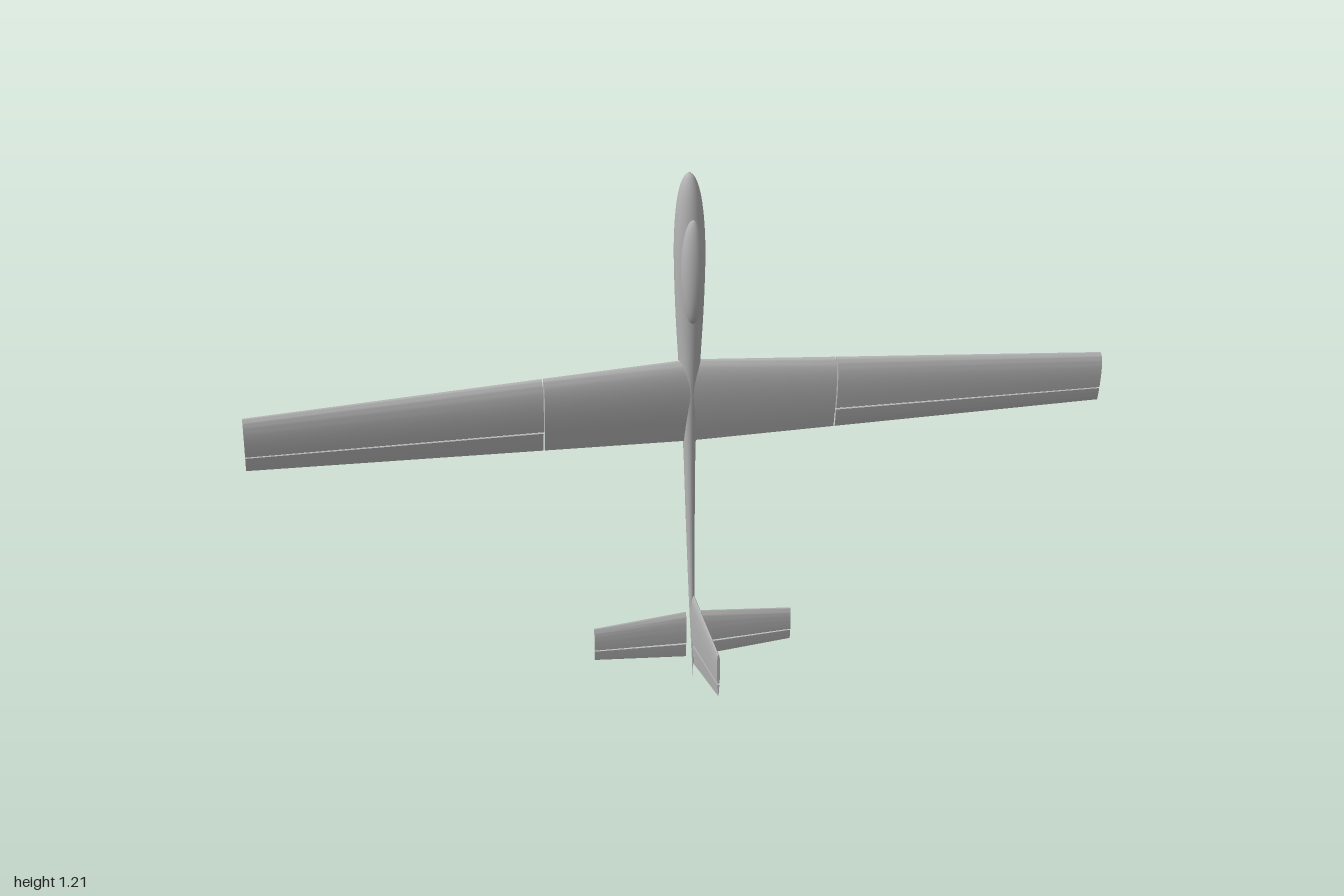
import * as THREE from 'three';
import { mergeVertices, toCreasedNormals } from 'three/addons/utils/BufferGeometryUtils.js';

const grey = new THREE.MeshStandardMaterial({ color: 0xb4b4b4 });
grey.name = 'grey';

const lerp = THREE.MathUtils.lerp;

// Half thickness of an airfoil at chord fraction s, for a thickness of 1
const airfoil = (s) =>
  5 * (0.2969 * Math.sqrt(s) - 0.126 * s - 0.3516 * s * s + 0.2843 * s ** 3 - 0.1036 * s ** 4);

// Section of a surface at distance u from root (0) to tip (1)
function station(surface, u) {
  const { root, tip } = surface;
  const mix = (key) => lerp(root[key], tip[key], u);
  return { x: mix('x'), lead: mix('lead'), trail: mix('trail'), z: mix('z'), thick: mix('thick') };
}

// Closed loop of points between two chord fractions
function sectionLoop(st, c0, c1, flat) {
  const upper = [], lower = [], n = 14;
  for (let i = 0; i <= n; i++) {
    const k = i / n;
    const s = lerp(c0, c1, c0 === 0 ? k * k : k);
    const h = airfoil(s) * st.thick;
    const y = lerp(st.lead, st.trail, s);
    upper.push([st.x, y, st.z + (flat ? 2 * h : h)]);
    if (i > 0 || c0 > 0) lower.unshift([st.x, y, st.z - (flat ? 0 : h)]);
  }
  return [...upper, ...lower];
}

// Solid panel lofted between two stations, mirrored to -x on request
function panel(name, surface, u0, u1, c0, c1, mirror = false) {
  let ends = [station(surface, u0), station(surface, u1)];
  if (mirror) ends = ends.reverse().map((s) => ({ ...s, x: -s.x }));
  const [a, b] = ends.map((s) => sectionLoop(s, c0, c1, surface.flat));
  const pos = [];
  const tri = (...pts) => pts.forEach((p) => pos.push(...p));
  for (let i = 0; i < a.length; i++) {
    const j = (i + 1) % a.length;
    tri(a[i], a[j], b[j]);
    tri(a[i], b[j], b[i]);
    if (i > 0 && j > 0) {
      tri(a[0], a[j], a[i]);
      tri(b[0], b[i], b[j]);
    }
  }
  const geo = new THREE.BufferGeometry();
  geo.setAttribute('position', new THREE.Float32BufferAttribute(pos, 3));
  const mesh = new THREE.Mesh(toCreasedNormals(geo, 0.6), grey);
  mesh.name = name;
  return mesh;
}

// Flying surfaces: leading and trailing edges, base height and thickness
const WING = {
  flat: true,
  root: { x: 0, lead: 0.78, trail: 0.585, z: -0.107, thick: 0.021 },
  tip: { x: 1, lead: 0.738, trail: 0.62, z: -0.053, thick: 0.013 },
};
const TAILPLANE = {
  flat: true,
  root: { x: 0.019, lead: 0.17, trail: 0.055, z: -0.077, thick: 0.009 },
  tip: { x: 0.24, lead: 0.152, trail: 0.072, z: -0.077, thick: 0.006 },
};
const FIN = {
  flat: false,
  root: { x: -0.073, lead: 0.21, trail: 0.034, z: 0, thick: 0.013 },
  tip: { x: 0.144, lead: 0.155, trail: 0.051, z: 0, thick: 0.008 },
};

// Round body tapering to a thin boom, slightly deeper than wide at the back
function makeFuselage() {
  const profile = new THREE.SplineCurve([
    [0.0005, 0], [0.0065, 0.2], [0.0105, 0.4], [0.0145, 0.58], [0.024, 0.76],
    [0.032, 0.9], [0.0355, 1.02], [0.033, 1.1], [0.0255, 1.16], [0.014, 1.196], [0.0005, 1.21],
  ].map(([r, y]) => new THREE.Vector2(r, y)));
  const centre = new THREE.SplineCurve([
    [-0.083, 0], [-0.094, 0.2], [-0.105, 0.4], [-0.1115, 0.6], [-0.1095, 0.8],
    [-0.1055, 1.0], [-0.107, 1.21],
  ].map(([z, y]) => new THREE.Vector2(z, y)));
  const centreSamples = centre.getPoints(90);
  const centreAt = (y) => {
    const i = Math.max(1, centreSamples.findIndex((p) => p.y >= y - 1e-6));
    const p = centreSamples[i - 1], q = centreSamples[i];
    return lerp(p.x, q.x, (y - p.y) / (q.y - p.y));
  };
  let geo = new THREE.LatheGeometry(profile.getPoints(60), 32);
  const pos = geo.attributes.position;
  for (let i = 0; i < pos.count; i++) {
    const y = pos.getY(i);
    const depth = 1 + 0.25 * (1 - THREE.MathUtils.smoothstep(y, 0.6, 1.0));
    pos.setZ(i, centreAt(y) + pos.getZ(i) * depth);
  }
  geo.deleteAttribute('uv');
  geo.deleteAttribute('normal');
  geo = mergeVertices(geo, 1e-5);
  geo.computeVertexNormals();
  const mesh = new THREE.Mesh(geo, grey);
  mesh.name = 'fuselage';
  return mesh;
}

export function createModel() {
  const model = new THREE.Group();
  model.name = 'glider';
  model.add(makeFuselage());

  // Bubble canopy
  const canopy = new THREE.Mesh(new THREE.SphereGeometry(1, 32, 24), grey);
  canopy.name = 'canopy';
  canopy.scale.set(0.027, 0.119, 0.026);
  canopy.position.set(0, 0.99, -0.077);
  model.add(canopy);

  // Wings and tailplane, with narrow gaps at the hinges and panel joints
  for (const mirror of [false, true]) {
    const side = mirror ? 'right' : 'left';
    model.add(
      panel(side + 'InnerWing', WING, 0, 0.343, 0, 1, mirror),
      panel(side + 'OuterWing', WING, 0.346, 1, 0, 0.722, mirror),
      panel(side + 'Aileron', WING, 0.346, 1, 0.745, 1, mirror),
      panel(side + 'Tailplane', TAILPLANE, 0, 1, 0, 0.68, mirror),
      panel(side + 'Elevator', TAILPLANE, 0, 1, 0.715, 1, mirror),
    );
  }

  // Upright fin and rudder
  const fin = new THREE.Group();
  fin.name = 'verticalTail';
  fin.add(panel('fin', FIN, 0, 1, 0, 0.69), panel('rudder', FIN, 0, 1, 0.725, 1));
  fin.rotation.y = -Math.PI / 2;
  model.add(fin);

  return model;
}
